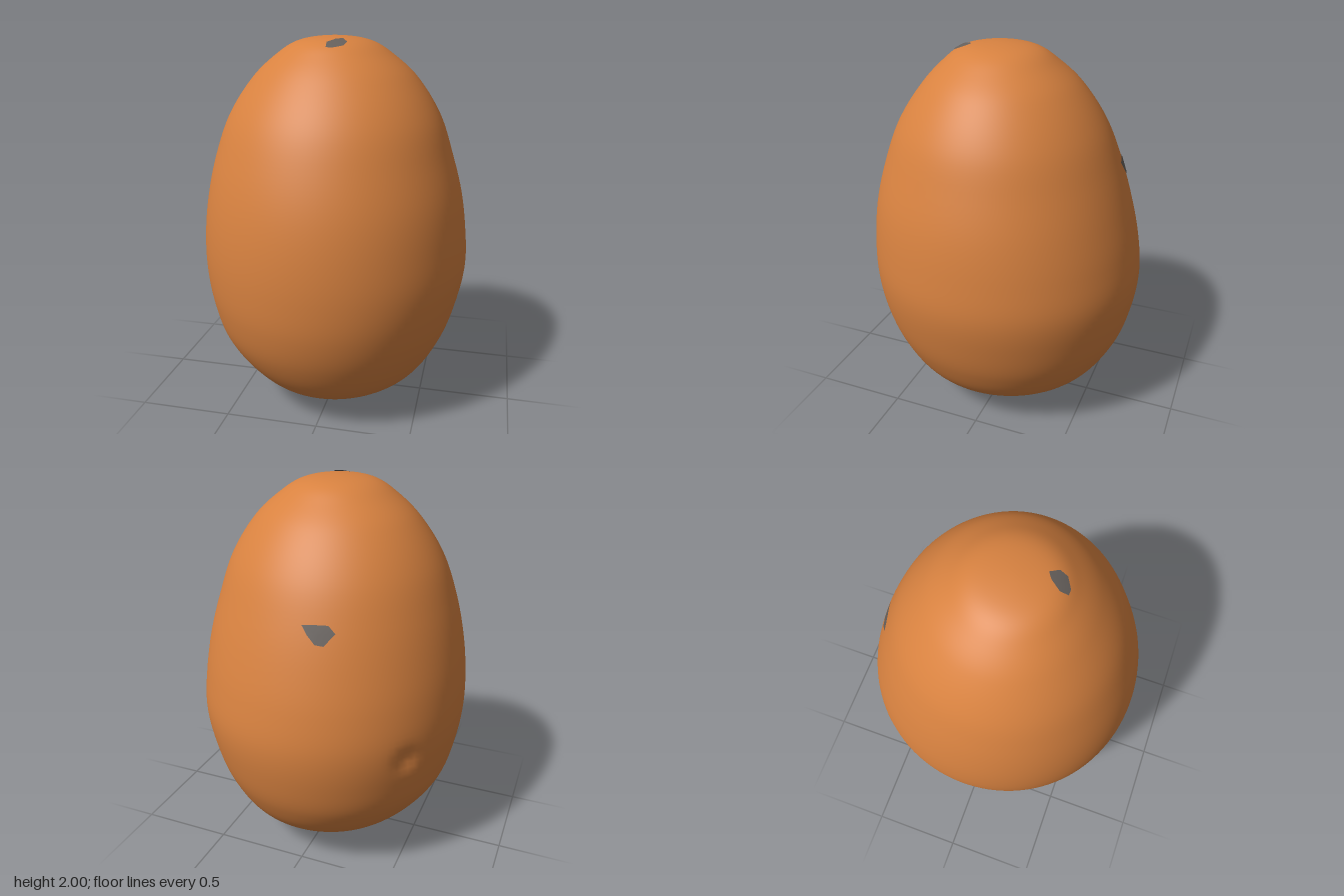
import * as THREE from 'three';
import { mergeVertices } from 'three/addons/utils/BufferGeometryUtils.js';

// Outline by height: y, then the extents -x, +x, -z, +z
const ROWS = [
  [2.0, 0, 0, 0.045, 0.045],
  [1.98, -0.17, 0.17, -0.13, 0.22],
  [1.9, -0.31, 0.31, -0.26, 0.34],
  [1.8, -0.42, 0.42, -0.37, 0.435],
  [1.6, -0.555, 0.55, -0.51, 0.57],
  [1.4, -0.63, 0.62, -0.595, 0.65],
  [1.2, -0.68, 0.675, -0.66, 0.705],
  [1.0, -0.71, 0.705, -0.71, 0.733],
  [0.8, -0.717, 0.715, -0.735, 0.737],
  [0.6, -0.69, 0.68, -0.712, 0.715],
  [0.4, -0.63, 0.615, -0.65, 0.65],
  [0.2, -0.475, 0.49, -0.51, 0.52],
  [0.1, -0.34, 0.34, -0.33, 0.38],
  [0.04, -0.19, 0.19, -0.165, 0.215],
  [0, 0, 0, 0, 0],
];
const polar = (y) => Math.acos(THREE.MathUtils.clamp(y - 1, -1, 1));
const KNOTS = ROWS.map((r) => polar(r[0]));

// Smooth (Hermite) interpolation of one outline column at polar angle s
function extent(col, s) {
  const n = ROWS.length - 1;
  let i = 0;
  while (i < n - 1 && s > KNOTS[i + 1]) i++;
  const slope = (k) => {
    const a = Math.max(k - 1, 0), b = Math.min(k + 1, n);
    return (ROWS[b][col] - ROWS[a][col]) / (KNOTS[b] - KNOTS[a]);
  };
  const h = KNOTS[i + 1] - KNOTS[i], t = (s - KNOTS[i]) / h, t2 = t * t, t3 = t2 * t;
  return (2 * t3 - 3 * t2 + 1) * ROWS[i][col] + (t3 - 2 * t2 + t) * h * slope(i)
    + (3 * t2 - 2 * t3) * ROWS[i + 1][col] + (t3 - t2) * h * slope(i + 1);
}

// Elliptical cross-section at polar angle s
function section(s) {
  const [x0, x1, z0, z1] = [1, 2, 3, 4].map((c) => extent(c, s));
  return { cx: (x0 + x1) / 2, cz: (z0 + z1) / 2, a: (x1 - x0) / 2, b: (z1 - z0) / 2 };
}

// Shell: a sphere reshaped to the outline, with a small dent low on the back
function shellGeometry() {
  const sphere = new THREE.SphereGeometry(1, 128, 96);
  sphere.deleteAttribute('uv');
  sphere.deleteAttribute('normal');
  const geo = mergeVertices(sphere, 1e-5);
  const pos = geo.attributes.position;
  const dent = new THREE.Vector3(-0.554, 0.73, -0.443);
  const p = new THREE.Vector3();
  for (let i = 0; i < pos.count; i++) {
    p.fromBufferAttribute(pos, i);
    const s = polar(p.y + 1), r = Math.max(Math.sin(s), 1e-6), c = section(s);
    p.set(c.cx + c.a * p.x / r, p.y + 1, c.cz + c.b * p.z / r);
    const push = 0.025 * Math.exp(-p.distanceToSquared(dent) / 0.0036);
    p.x *= 1 - push / 0.7;
    p.z *= 1 - push / 0.7;
    pos.setXYZ(i, p.x, p.y, p.z);
  }
  geo.computeVertexNormals();
  return geo;
}

// Point on the upper surface above (x, z)
function onTop(x, z) {
  let lo = 0.05, hi = Math.PI / 2;
  for (let k = 0; k < 30; k++) {
    const mid = (lo + hi) / 2, c = section(mid);
    if (((x - c.cx) / c.a) ** 2 + ((z - c.cz) / c.b) ** 2 > 1) lo = mid;
    else hi = mid;
  }
  return new THREE.Vector3(x, 1 + Math.cos(lo), z);
}

// Point on the back surface behind (x, y)
function onBack(x, y) {
  const c = section(polar(y));
  return new THREE.Vector3(x, y, c.cz - c.b * Math.sqrt(1 - ((x - c.cx) / c.a) ** 2));
}

// Thin spot: a fan of points lifted just off the shell
function spotGeometry(outline, project) {
  const n = outline.length;
  const mid = [0, 1].map((k) => outline.reduce((sum, q) => sum + q[k], 0) / n);
  const centre = new THREE.Vector3(0, 1, 0);
  const pts = [mid, ...outline].map(([u, v]) => {
    const p = project(u, v);
    return p.addScaledVector(p.clone().sub(centre).normalize(), 0.005);
  });
  const geo = new THREE.BufferGeometry().setFromPoints(pts);
  const index = [];
  for (let i = 0; i < n; i++) index.push(0, 1 + ((i + 1) % n), 1 + i);
  geo.setIndex(index);
  geo.computeVertexNormals();
  return geo;
}

export function createModel() {
  const group = new THREE.Group();
  group.name = 'egg';
  const shellBrown = new THREE.MeshStandardMaterial({ color: 0xd88240 });
  shellBrown.name = 'shellBrown';
  const spotGrey = new THREE.MeshStandardMaterial({ color: 0x66605c, side: THREE.DoubleSide });
  spotGrey.name = 'spotGrey';

  const add = (name, geo, mat) => {
    const mesh = new THREE.Mesh(geo, mat);
    mesh.name = name;
    group.add(mesh);
  };

  add('shell', shellGeometry(), shellBrown);
  // Spots are outlined clockwise as seen from outside
  add('topSpot', spotGeometry([
    [0.04, 0.19], [0.07, 0.17], [0.1, 0.21], [0.09, 0.25], [0.04, 0.28], [0.01, 0.28], [0.005, 0.24],
  ], onTop), spotGrey);
  add('backSpot', spotGeometry([
    [-0.07, 1.42], [-0.11, 1.425], [-0.19, 1.425], [-0.225, 1.39], [-0.18, 1.335], [-0.14, 1.34], [-0.1, 1.38],
  ], onBack), spotGrey);
  return group;
}
